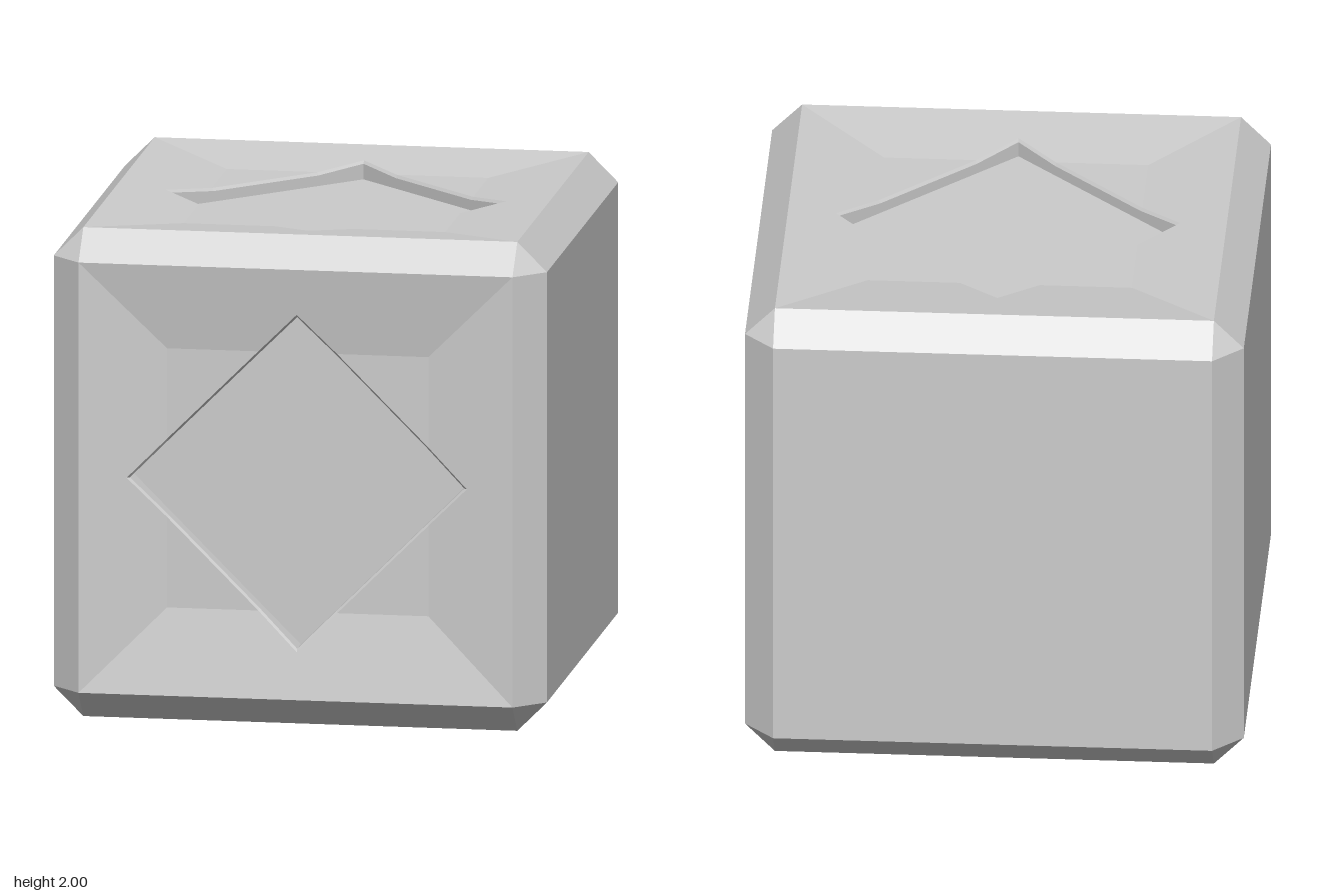
import * as THREE from 'three';

const HALF = 1, EDGE = 0.88, FLAT = 0.53, DIAMOND = 0.69;
const material = new THREE.MeshStandardMaterial({ color: 0xcccccc, flatShading: true });

function surface(positions) {
  const g = new THREE.BufferGeometry();
  g.setAttribute('position', new THREE.Float32BufferAttribute(positions, 3));
  g.computeVertexNormals();
  return g;
}

function addMesh(parent, name, geometry) {
  const mesh = new THREE.Mesh(geometry, material);
  mesh.name = name;
  parent.add(mesh);
  return mesh;
}

// Sunken panel facing +z: sloped border, flat middle, diamond-shaped pocket
function sunkenPanel(dish, floor) {
  const k = (DIAMOND - FLAT) / FLAT; // direction where the diamond crosses the flat's edge
  const dirs = [];
  for (let q = 0; q < 4; q++) {
    const c = [1, 0, -1, 0][q], s = [0, 1, 0, -1][q];
    for (const [x, y] of [[1, 0], [1, k], [1, 1], [k, 1]]) dirs.push([x * c - y * s, x * s + y * c]);
  }
  const depth = (m) => dish * Math.min(1, (EDGE - m) / (EDGE - FLAT));
  const rim = ([x, y]) => DIAMOND / (Math.abs(x) + Math.abs(y));
  // Each ring gives [distance from centre, depth] along a direction
  const rings = [
    () => [EDGE, 0],
    (d) => { const m = Math.max(FLAT, rim(d)); return [m, depth(m)]; },
    (d) => [rim(d), depth(rim(d))],
    (d) => [rim(d) * 0.983, depth(rim(d)) + 0.012],
    (d) => [rim(d) * 0.983, floor],
    () => [0, floor],
  ].map((ring) => dirs.map((d) => {
    const [m, z] = ring(d);
    return [d[0] * m, d[1] * m, HALF - z];
  }));
  const pos = [];
  for (let r = 0; r < rings.length - 1; r++) {
    for (let i = 0; i < dirs.length; i++) {
      const j = (i + 1) % dirs.length;
      const a = rings[r][i], b = rings[r][j], c = rings[r + 1][j], d = rings[r + 1][i];
      pos.push(...a, ...b, ...c, ...a, ...c, ...d);
    }
  }
  return surface(pos);
}

export function createModel() {
  const model = new THREE.Group();
  model.name = 'chamferedCube';
  const body = new THREE.Group();
  body.name = 'body';
  body.position.y = HALF;
  model.add(body);

  // Front and top sunken panels
  addMesh(body, 'frontPanel', sunkenPanel(0.055, 0.13));
  addMesh(body, 'topPanel', sunkenPanel(0.045, 0.1)).rotation.x = -Math.PI / 2;

  // Plain sides
  const side = new THREE.PlaneGeometry(2 * EDGE, 2 * EDGE).translate(0, 0, HALF);
  addMesh(body, 'leftSide', side).rotation.y = Math.PI / 2;
  addMesh(body, 'rightSide', side).rotation.y = -Math.PI / 2;
  addMesh(body, 'backSide', side).rotation.y = Math.PI;
  addMesh(body, 'bottomSide', side).rotation.x = Math.PI / 2;

  // Bevelled edges: four around each axis
  const strip = new THREE.PlaneGeometry((HALF - EDGE) * Math.SQRT2, 2 * EDGE)
    .translate(0, 0, (HALF + EDGE) / Math.SQRT2);
  for (const axis of ['x', 'y', 'z']) {
    const ring = new THREE.Group();
    ring.name = axis + 'Bevels';
    if (axis === 'x') ring.rotation.z = Math.PI / 2;
    if (axis === 'z') ring.rotation.x = Math.PI / 2;
    for (let i = 0; i < 4; i++) {
      addMesh(ring, 'edgeBevel', strip).rotation.y = Math.PI / 4 + i * Math.PI / 2;
    }
    body.add(ring);
  }

  // Triangular corner cuts, winding swapped on mirrored corners
  for (const x of [-1, 1]) for (const y of [-1, 1]) for (const z of [-1, 1]) {
    const a = [x * HALF, y * EDGE, z * EDGE];
    const b = [x * EDGE, y * HALF, z * EDGE];
    const c = [x * EDGE, y * EDGE, z * HALF];
    addMesh(body, 'cornerCut', surface(x * y * z > 0 ? [...a, ...b, ...c] : [...a, ...c, ...b]));
  }
  return model;
}
